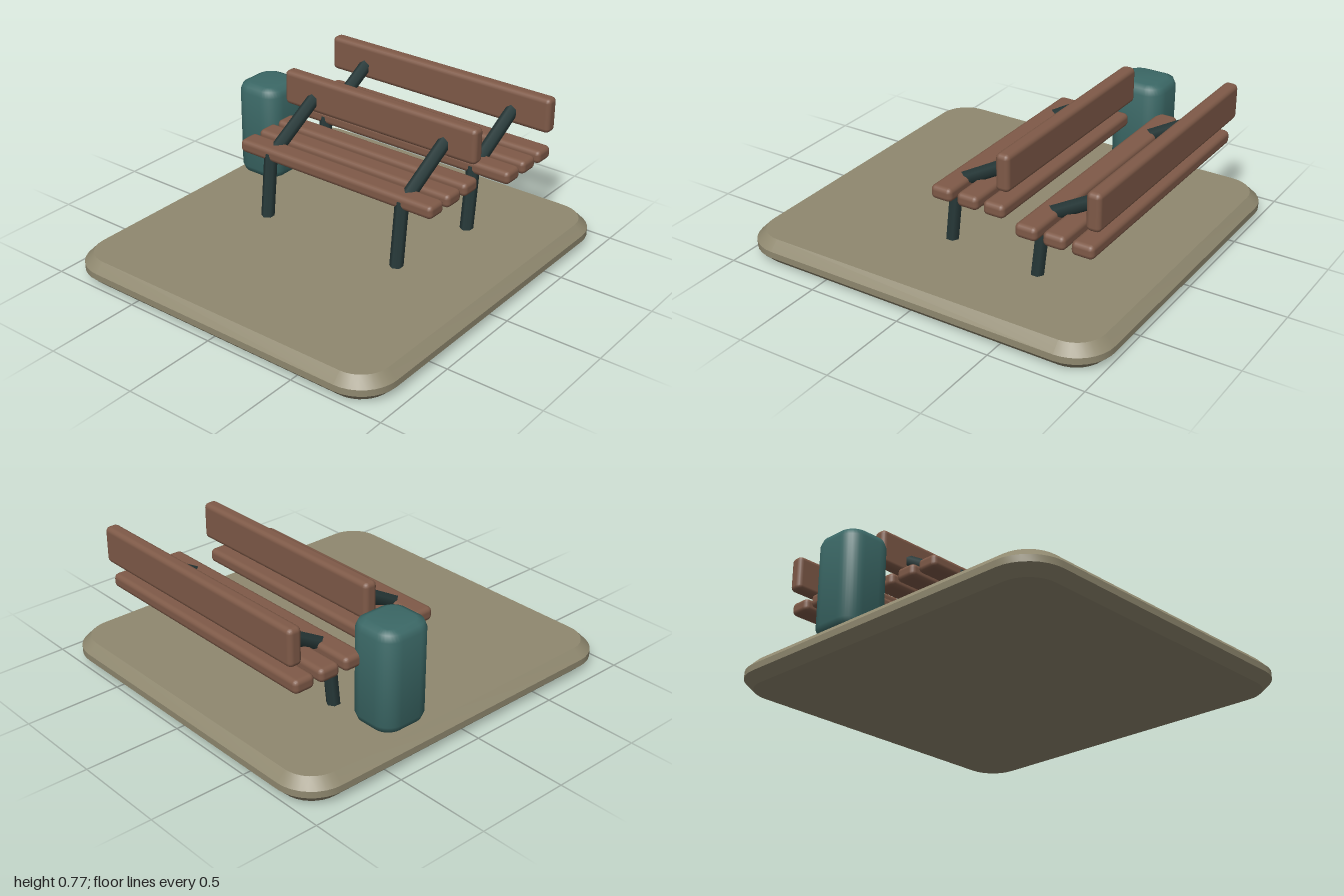
import * as THREE from 'three';
import { toCreasedNormals } from 'three/addons/utils/BufferGeometryUtils.js';
import { RoundedBoxGeometry } from 'three/addons/geometries/RoundedBoxGeometry.js';

const material = (name, color) => {
  const m = new THREE.MeshStandardMaterial({ color });
  m.name = name;
  return m;
};

// Upright block with a rounded-rectangle plan and bevelled rims, standing on y = 0
function roundedBlock(w, h, d, radius, bevel, bevelSegments, crease) {
  const x = w / 2 - bevel, z = d / 2 - bevel, r = radius - bevel;
  const s = new THREE.Shape();
  s.moveTo(-x + r, -z);
  s.lineTo(x - r, -z);
  s.absarc(x - r, -z + r, r, -Math.PI / 2, 0);
  s.lineTo(x, z - r);
  s.absarc(x - r, z - r, r, 0, Math.PI / 2);
  s.lineTo(-x + r, z);
  s.absarc(-x + r, z - r, r, Math.PI / 2, Math.PI);
  s.lineTo(-x, -z + r);
  s.absarc(-x + r, -z + r, r, Math.PI, Math.PI * 1.5);
  const g = new THREE.ExtrudeGeometry(s, {
    depth: h - 2 * bevel, bevelEnabled: true, bevelSize: bevel,
    bevelThickness: bevel, bevelSegments, curveSegments: 4,
  });
  g.rotateX(-Math.PI / 2);
  g.translate(0, bevel, 0);
  return toCreasedNormals(g, crease);
}

export function createModel() {
  const model = new THREE.Group();
  model.name = 'benchPlaza';
  const stone = material('stone', 0x8f886f);
  const wood = material('wood', 0x7f5a48);
  const iron = material('dark iron', 0x283a3a);
  const green = material('bin green', 0x3b6866);

  function add(parent, name, geometry, mat, x, y, z) {
    const mesh = new THREE.Mesh(geometry, mat);
    mesh.name = name;
    mesh.position.set(x, y, z);
    parent.add(mesh);
    return mesh;
  }

  // Six-sided bar between two points given as [y, z]
  function bar(parent, name, x, [y0, z0], [y1, z1]) {
    const length = Math.hypot(y1 - y0, z1 - z0);
    const mesh = add(parent, name, new THREE.CylinderGeometry(0.035, 0.035, length, 6),
      iron, x, (y0 + y1) / 2, (z0 + z1) / 2);
    mesh.rotation.x = Math.atan2(z1 - z0, y1 - y0);
  }

  // Bench: three seat slats, a backrest, and a leg and arm at each side
  function bench(name, width, supportX, z) {
    const g = new THREE.Group();
    g.name = name;
    g.position.z = z;
    for (let i = 0; i < 3; i++) {
      add(g, 'seatSlat', new RoundedBoxGeometry(width, 0.072, 0.116, 2, 0.025),
        wood, 0, 0.471, 0.025 - i * 0.146);
    }
    add(g, 'backrest', new RoundedBoxGeometry(width, 0.19, 0.074, 2, 0.025),
      wood, 0, 0.675, -0.316);
    for (const side of [-1, 1]) {
      bar(g, 'leg', side * supportX, [0.125, 0.091], [0.475, 0.054]);
      bar(g, 'arm', side * supportX, [0.468, 0.03], [0.663, -0.31]);
    }
    model.add(g);
  }

  // Ground slab
  add(model, 'base', roundedBlock(1.88, 0.13, 2, 0.2, 0.048, 1, 0.6), stone, 0, 0, 0);

  bench('frontBench', 1.2, 0.413, 0);
  bench('rearBench', 1.39, 0.472, -0.525);

  // Litter bin beside the benches
  add(model, 'bin', roundedBlock(0.27, 0.525, 0.288, 0.09, 0.045, 2, 0.9),
    green, -0.745, 0.135, -0.333);

  return model;
}
